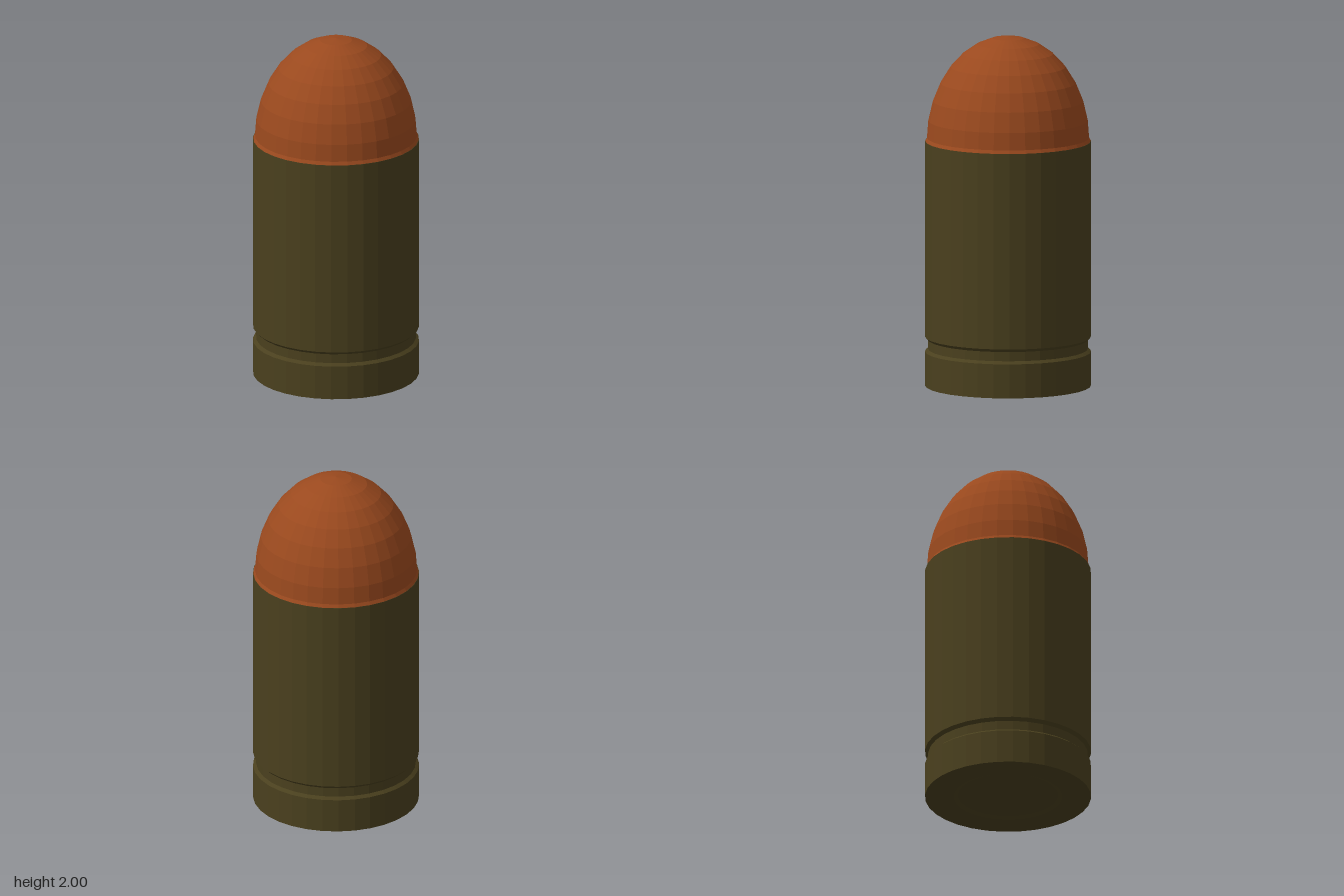
import * as THREE from 'three';

const SIDES = 32;

// Faceted solid of revolution; profile runs from the bottom axis to the top
function turned(name, color, profile) {
  const points = profile.map(([r, y]) => new THREE.Vector2(r, y));
  const material = new THREE.MeshStandardMaterial({ color, flatShading: true });
  const mesh = new THREE.Mesh(new THREE.LatheGeometry(points, SIDES), material);
  mesh.name = name;
  return mesh;
}

export function createModel() {
  const group = new THREE.Group();
  group.name = 'cartridge';
  const olive = 0x4a401e, copper = 0x9a491e;

  // Case: flat base with recess, rim, extractor groove and straight wall
  group.add(turned('case', olive, [
    [0.305, 0], [0.47, 0], [0.47, 0.195], [0.452, 0.21],
    [0.452, 0.263], [0.47, 0.28], [0.47, 1.4], [0.44, 1.4],
  ]));

  // Primer: shallow disc set into the base
  group.add(turned('primer', olive, [[0, 0.01], [0.285, 0.01], [0.305, 0]]));

  // Collar: sloped ring where the tip meets the case
  group.add(turned('collar', copper, [[0.468, 1.4], [0.456, 1.424], [0.44, 1.424]]));

  // Tip: elongated half dome in eight rings
  const dome = [];
  for (let i = 0; i <= 8; i++) {
    const a = (i / 8) * Math.PI / 2;
    dome.push([i === 8 ? 0 : 0.46 * Math.cos(a), 1.4 + 0.6 * Math.sin(a)]);
  }
  group.add(turned('tip', copper, dome));

  return group;
}
